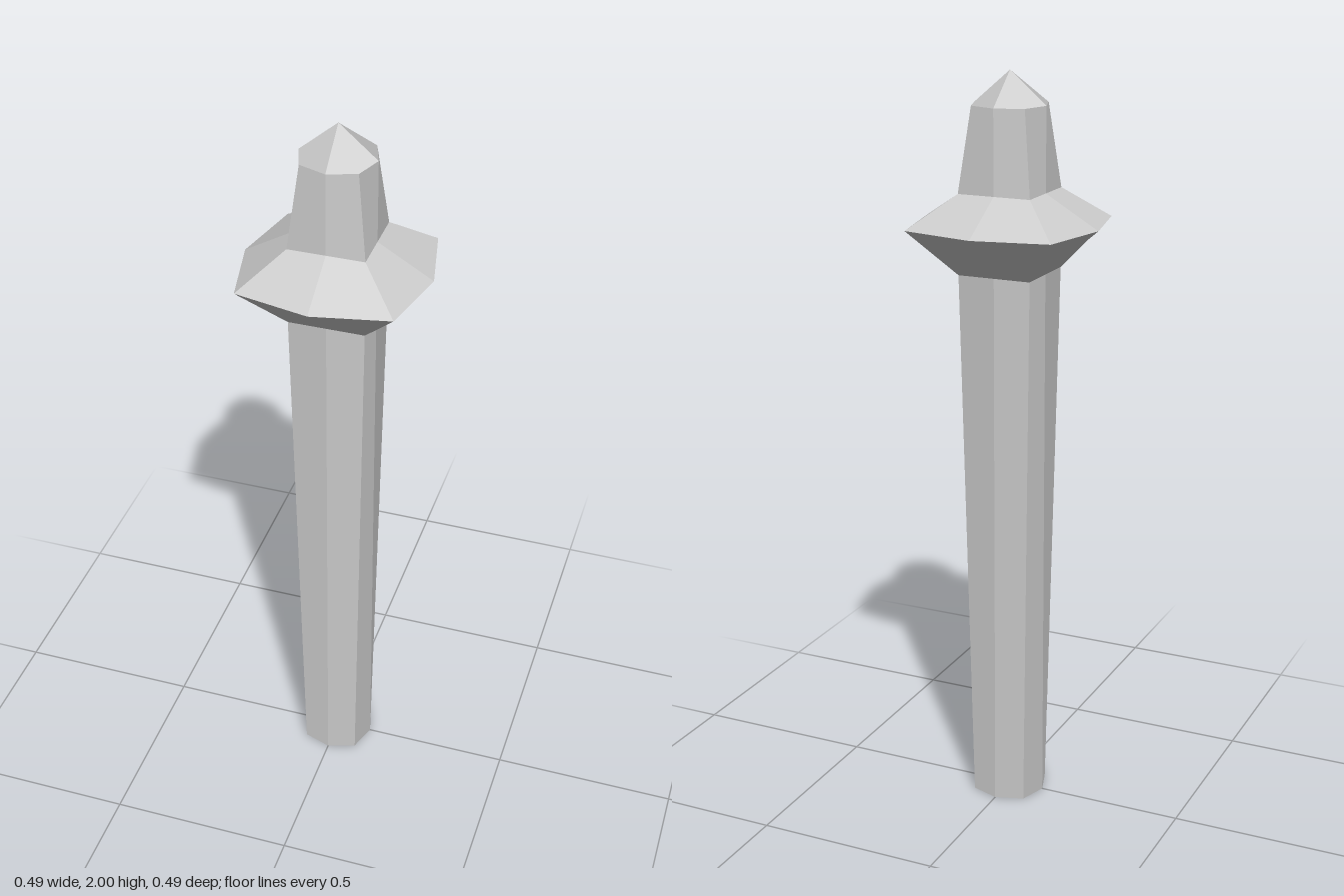
import * as THREE from 'three';

// Eight-point ring: axis points at ax / az, corner points at c on both axes
function ring(y, c, ax, az = ax) {
  return [[ax, 0], [c, c], [0, az], [-c, c], [-ax, 0], [-c, -c], [0, -az], [c, -c]]
    .map(([x, z]) => new THREE.Vector3(x, y, z));
}

// One flat-shaded polygon per face, each with a single averaged normal
function facetGeometry(faces) {
  const pos = [], nor = [];
  for (const f of faces) {
    const n = new THREE.Vector3();
    f.forEach((p, i) => n.add(new THREE.Vector3().crossVectors(p, f[(i + 1) % f.length])));
    n.normalize();
    for (let i = 1; i < f.length - 1; i++) {
      for (const p of [f[0], f[i], f[i + 1]]) {
        pos.push(p.x, p.y, p.z);
        nor.push(n.x, n.y, n.z);
      }
    }
  }
  const g = new THREE.BufferGeometry();
  g.setAttribute('position', new THREE.Float32BufferAttribute(pos, 3));
  g.setAttribute('normal', new THREE.Float32BufferAttribute(nor, 3));
  return g;
}

// Side faces between two rings, lower then upper
function band(a, b) {
  return a.map((p, i) => {
    const j = (i + 1) % 8;
    return [a[j], p, b[i], b[j]];
  });
}

export function createModel() {
  const group = new THREE.Group();
  const grey = new THREE.MeshStandardMaterial({ color: 0xcccccc });
  grey.name = 'light grey';

  const add = (name, faces) => {
    const mesh = new THREE.Mesh(facetGeometry(faces), grey);
    mesh.name = name;
    group.add(mesh);
  };

  const foot = ring(0, 0.075, 0.1);
  const neck = ring(1.485, 0.1, 0.1);
  const rim = ring(1.61, 0.201, 0.245, 0.243);
  const shoulder = ring(1.695, 0.1, 0.1);
  const crown = ring(1.915, 0.074, 0.1);
  const apex = new THREE.Vector3(0, 2, 0);

  // Shaft: octagonal foot widening to a square neck, closed underneath
  add('shaft', [...band(foot, neck), foot]);
  // Flared collar
  add('collar', [...band(neck, rim), ...band(rim, shoulder)]);
  // Square-to-octagon head above the collar
  add('head', band(shoulder, crown));
  // Four-faced point
  add('tip', [0, 2, 4, 6].map((i) => [apex, crown[(i + 2) % 8], crown[i + 1], crown[i]]));

  return group;
}
